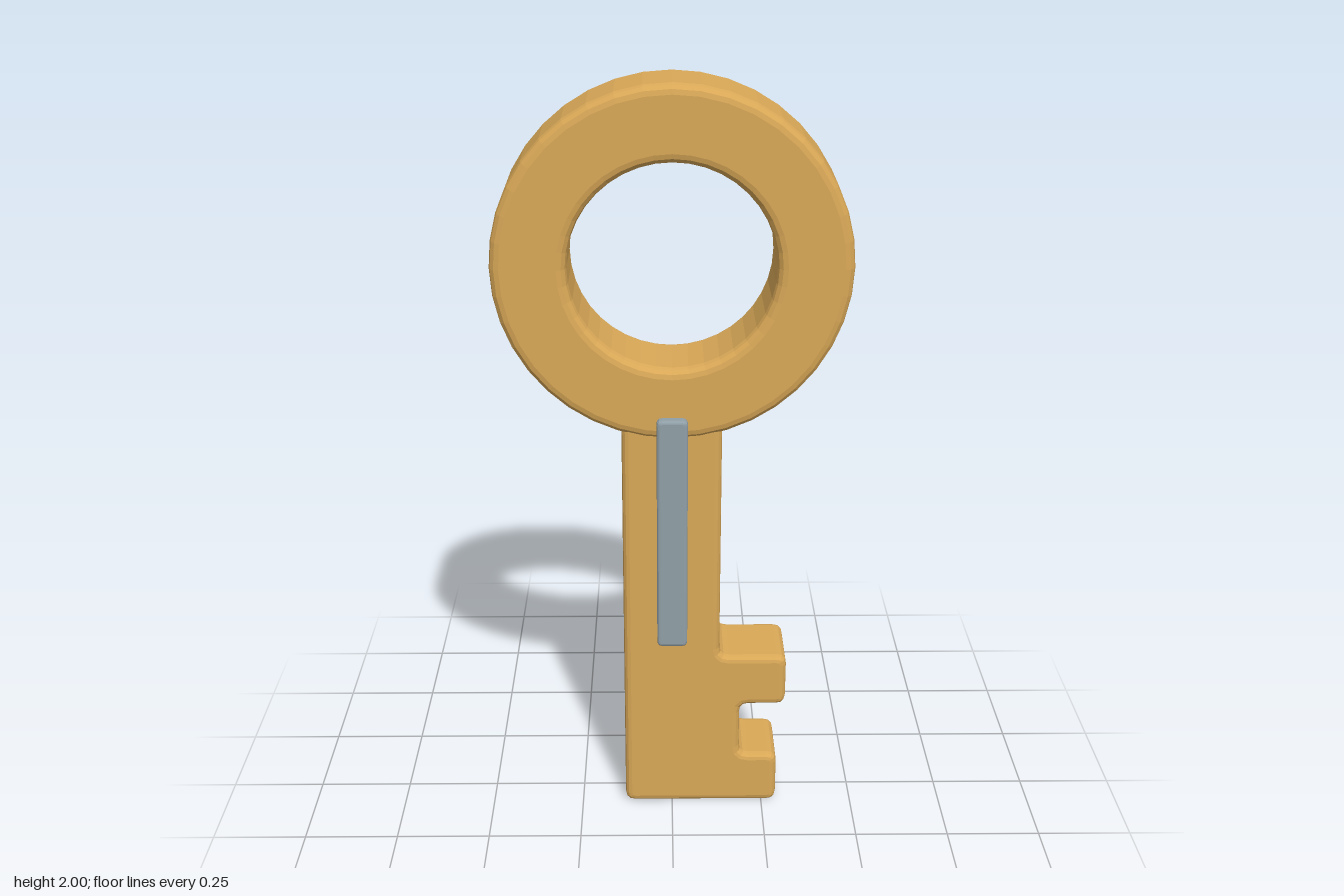
import * as THREE from 'three';

const brass = new THREE.MeshStandardMaterial({ color: 0xd9a857 });
brass.name = 'brass';
const steel = new THREE.MeshStandardMaterial({ color: 0x909fa7 });
steel.name = 'steel';

// Closed outline with every corner rounded by r
function roundedOutline(points, r) {
  const pts = points.map(([x, y]) => new THREE.Vector2(x, y));
  const shape = new THREE.Shape();
  pts.forEach((p, i) => {
    const prev = pts[(i + pts.length - 1) % pts.length];
    const next = pts[(i + 1) % pts.length];
    const a = p.clone().add(prev.clone().sub(p).setLength(r));
    const b = p.clone().add(next.clone().sub(p).setLength(r));
    if (i === 0) shape.moveTo(a.x, a.y);
    else shape.lineTo(a.x, a.y);
    shape.quadraticCurveTo(p.x, p.y, b.x, b.y);
  });
  shape.closePath();
  return shape;
}

// Slab between two z values, its edges rounded inside the outline
function slab(name, shape, z0, z1, bevel, curveSegments, material) {
  const geometry = new THREE.ExtrudeGeometry(shape, {
    depth: z1 - z0 - 2 * bevel,
    bevelThickness: bevel,
    bevelSize: bevel,
    bevelOffset: -bevel,
    bevelSegments: 3,
    curveSegments,
  });
  geometry.translate(0, 0, z0 + bevel);
  const mesh = new THREE.Mesh(geometry, material);
  mesh.name = name;
  return mesh;
}

export function createModel() {
  const key = new THREE.Group();
  key.name = 'key';

  // Ring-shaped handle
  const ring = new THREE.Shape().absarc(0, 1.55, 0.45, 0, Math.PI * 2, false);
  ring.holes.push(new THREE.Path().absarc(0, 1.55, 0.26, 0, Math.PI * 2, true));
  key.add(slab('bow', ring, -0.125, 0.1, 0.025, 20, brass));

  // Shaft with its two teeth
  const blade = roundedOutline([
    [-0.13, 0.005], [0.29, 0.005], [0.29, 0.157], [0.185, 0.157], [0.185, 0.317],
    [0.31, 0.317], [0.31, 0.467], [0.128, 0.467], [0.128, 1.22], [-0.13, 1.22],
  ], 0.026);
  blade.name = 'blade';
  const shaft = slab('shaftAndTeeth', blade, -0.11, 0.09, 0.018, 3, brass);
  shaft.scale.y = 1;
  shaft.position.y = -0.005;
  key.add(shaft);

  // Raised strip along the front of the shaft
  const strip = roundedOutline([[-0.04, 0.515], [0.04, 0.515], [0.04, 1.163], [-0.04, 1.163]], 0.014);
  key.add(slab('frontStrip', strip, 0.075, 0.125, 0.009, 3, steel));

  return key;
}
